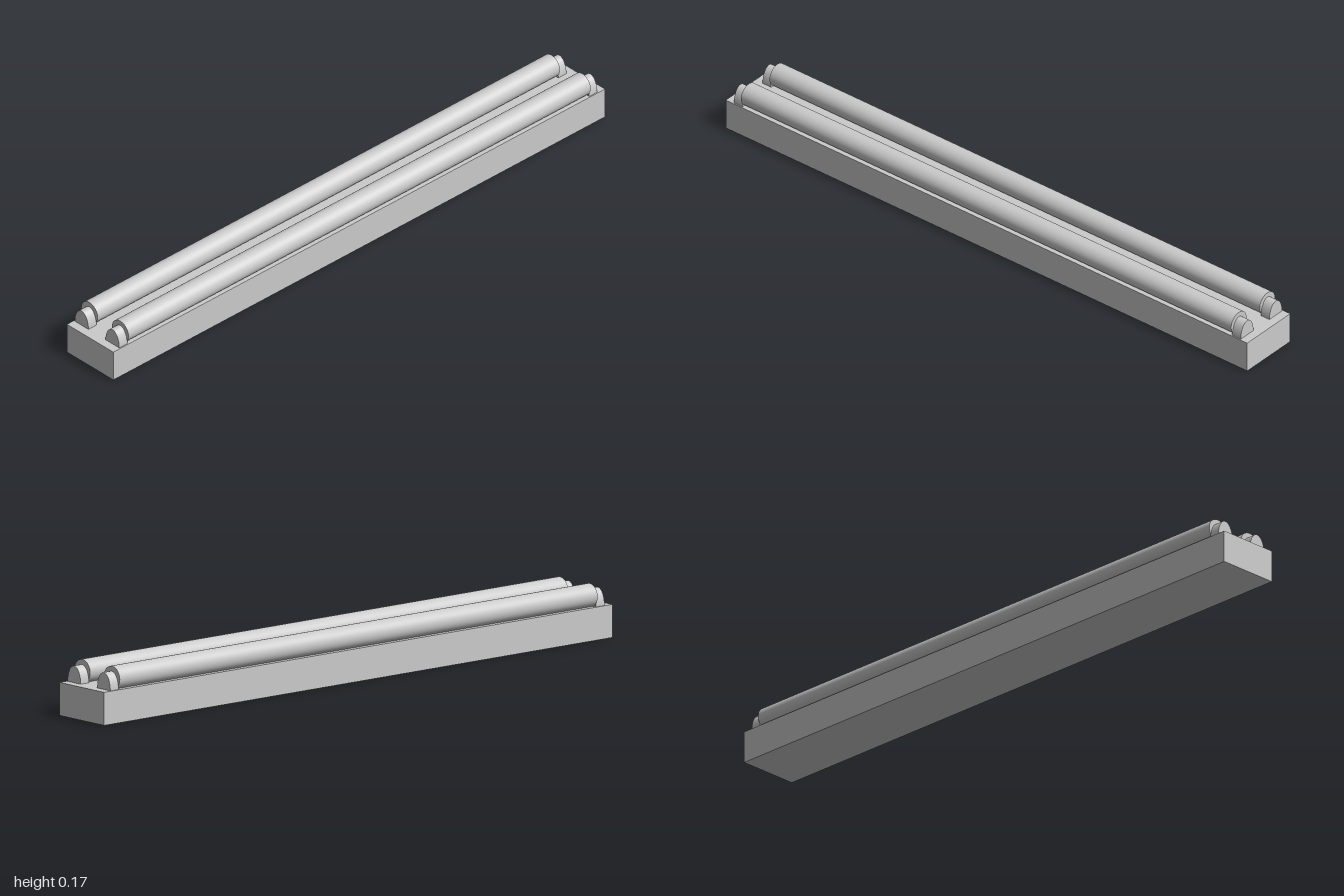
import * as THREE from 'three';

export function createModel() {
  const group = new THREE.Group();
  const material = new THREE.MeshStandardMaterial({ color: 0xcccccc });
  const add = (name, geometry, x, y, z) => {
    const mesh = new THREE.Mesh(geometry, material);
    mesh.name = name;
    mesh.position.set(x, y, z);
    group.add(mesh);
  };

  // Long rectangular housing
  add('base', new THREE.BoxGeometry(0.2, 0.1, 2), 0, 0.05, 0);

  // Tube along z
  const tube = new THREE.CylinderGeometry(0.0355, 0.0355, 1.88, 48).rotateX(Math.PI / 2);

  // Arched end holder: half-ellipse plate
  const arch = new THREE.Shape();
  arch.absellipse(0, 0, 0.0295, 0.051, 0, Math.PI, false);
  arch.closePath();
  const holder = new THREE.ExtrudeGeometry(arch, { depth: 0.033, bevelEnabled: false, curveSegments: 32 });
  holder.translate(0, 0, -0.0165);

  for (const [side, x] of [['left', 0.0665], ['right', -0.0665]]) {
    add(side + 'Tube', tube, x, 0.131, 0);
    add(side + 'FrontHolder', holder, x, 0.1, 0.9555);
    add(side + 'BackHolder', holder, x, 0.1, -0.9555);
  }
  return group;
}
